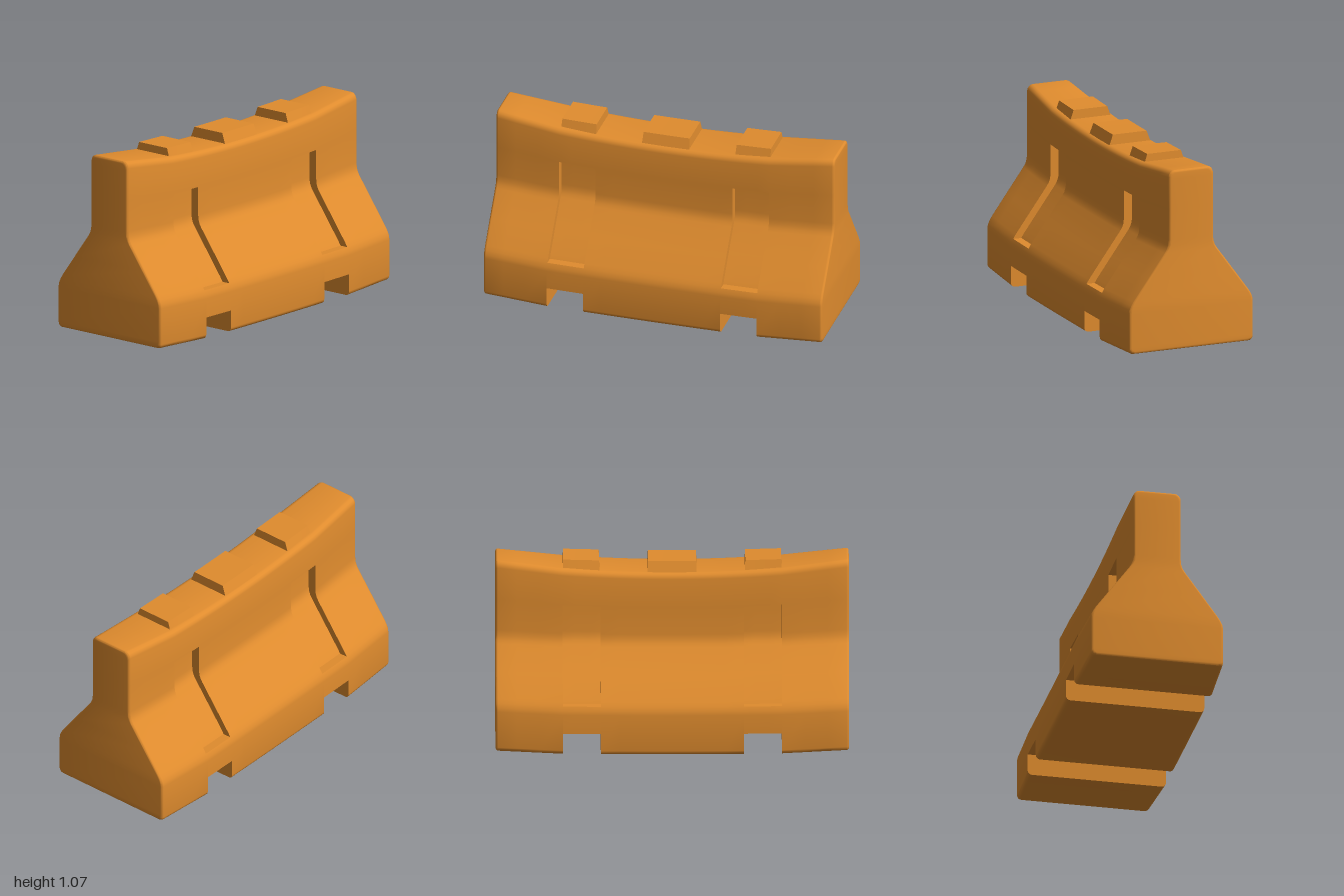
import * as THREE from 'three';
import { toCreasedNormals } from 'three/addons/utils/BufferGeometryUtils.js';

const material = new THREE.MeshStandardMaterial({ color: 0xe08c2e });
const BEVEL = 0.014, RECESS = 0.05, NOTCH = 0.125;

// Gentle sag in the middle, straight flare towards the ends.
const sag = (x, mid, end) => {
  const a = Math.abs(x);
  return a < 0.62 ? mid * (a / 0.62) ** 2 : mid + (end - mid) * (a - 0.62) / 0.38;
};
const topRise = x => sag(x, 0.025, 0.071);
const baseRise = x => sag(x, 0.004, 0.018);
const taper = x => 0.018 * Math.max(0, (Math.abs(x) - 0.62) / 0.38);

// Rounded corner as points [z, y].
function arc(cz, cy, r, from, to, n = 4) {
  return Array.from({ length: n + 1 }, (_, i) => {
    const t = from + (to - from) * i / n;
    return [cz + r * Math.cos(t), cy + r * Math.sin(t)];
  });
}

// Half cross-section from the base up: [z, y, lies in the side recess].
const half = [
  ...arc(0.375, 0.025, 0.025, -Math.PI / 2, 0),
  [0.4, 0.235], [0.397, 0.258], [0.386, 0.282],
  [0.386, 0.282, true], [0.372, 0.305, true], [0.28, 0.431, true], [0.178, 0.57, true],
  [0.166, 0.59, true], [0.158, 0.612, true], [0.155, 0.64, true], [0.155, 0.8, true],
  [0.155, 0.8],
  ...arc(0.12, 0.965, 0.035, 0, Math.PI / 2),
];

function section({ x, cut = false, inset = 0 }) {
  const right = half.map(([z, y, inRecess]) => {
    const w = Math.max(0, (y - 0.6) / 0.4);
    let py = cut ? Math.max(y, NOTCH) : y;
    py += baseRise(x) * (1 - w) + topRise(x) * w;
    if (y < 0.04) py += inset;
    if (y > 0.95) py -= inset;
    const pz = z - taper(x) - inset - (cut && inRecess ? RECESS : 0);
    return new THREE.Vector3(x, py, pz);
  });
  const left = right.map(p => new THREE.Vector3(p.x, p.y, -p.z)).reverse();
  return [...right, ...left];
}

// Body lofted through sections; doubled stations make the notch and recess walls.
function bodyGeometry() {
  const side = [0.1, 0.2, 0.3, 0.405].map(x => ({ x }));
  side.push(...[0.405, 0.47, 0.55, 0.62].map(x => ({ x, cut: true })));
  side.push(...[0.62, 0.75, 0.88].map(x => ({ x })));
  for (let i = 0; i <= 4; i++) {
    const t = i / 4 * Math.PI / 2;
    side.push({ x: 1 - BEVEL * (1 - Math.sin(t)), inset: BEVEL * (1 - Math.cos(t)) });
  }
  const stations = [...side.map(s => ({ ...s, x: -s.x })).reverse(), { x: 0 }, ...side];
  const rings = stations.map(section);
  const n = rings[0].length, h = n / 2, pos = [];
  const tri = (a, b, c) => {
    if (new THREE.Triangle(a, b, c).getArea() < 1e-9) return;
    for (const p of [a, b, c]) pos.push(p.x, p.y, p.z);
  };
  const quad = (a, b, c, d) => { tri(a, b, c); tri(a, c, d); };
  for (let s = 0; s < rings.length - 1; s++) {
    const a = rings[s], b = rings[s + 1];
    for (let i = 0; i < n; i++) {
      const j = (i + 1) % n;
      quad(a[i], b[i], b[j], a[j]);
    }
  }
  // Flat end faces
  const first = rings[0], last = rings[rings.length - 1];
  for (let i = 0; i < h - 1; i++) {
    const m = n - 1 - i;
    quad(last[i], last[m], last[m - 1], last[i + 1]);
    quad(first[i + 1], first[m - 1], first[m], first[i]);
  }
  const g = new THREE.BufferGeometry();
  g.setAttribute('position', new THREE.Float32BufferAttribute(pos, 3));
  return toCreasedNormals(g, THREE.MathUtils.degToRad(38));
}

// Raised block on the top edge, with sloping front and back.
function tab(name, x0, x1) {
  const mid = (x0 + x1) / 2, width = x1 - x0;
  const g = new THREE.BoxGeometry(width, 1, 1, 6, 1, 1);
  const p = g.attributes.position;
  for (let i = 0; i < p.count; i++) {
    const up = p.getY(i) > 0;
    const x = mid + p.getX(i) * (up ? 1 - 0.008 / width : 1);
    const y = up ? 1.059 + 0.4 * topRise(x) : 0.985;
    p.setXYZ(i, x, y, Math.sign(p.getZ(i)) * (up ? 0.104 : 0.132));
  }
  const mesh = new THREE.Mesh(toCreasedNormals(g, 0.4), material);
  mesh.name = name;
  return mesh;
}

export function createModel() {
  const group = new THREE.Group();
  group.name = 'roadBarrier';
  const body = new THREE.Mesh(bodyGeometry(), material);
  body.name = 'barrierBody';
  group.add(body,
    tab('rightTopTab', -0.62, -0.41),
    tab('centreTopTab', -0.14, 0.14),
    tab('leftTopTab', 0.41, 0.62));
  return group;
}
